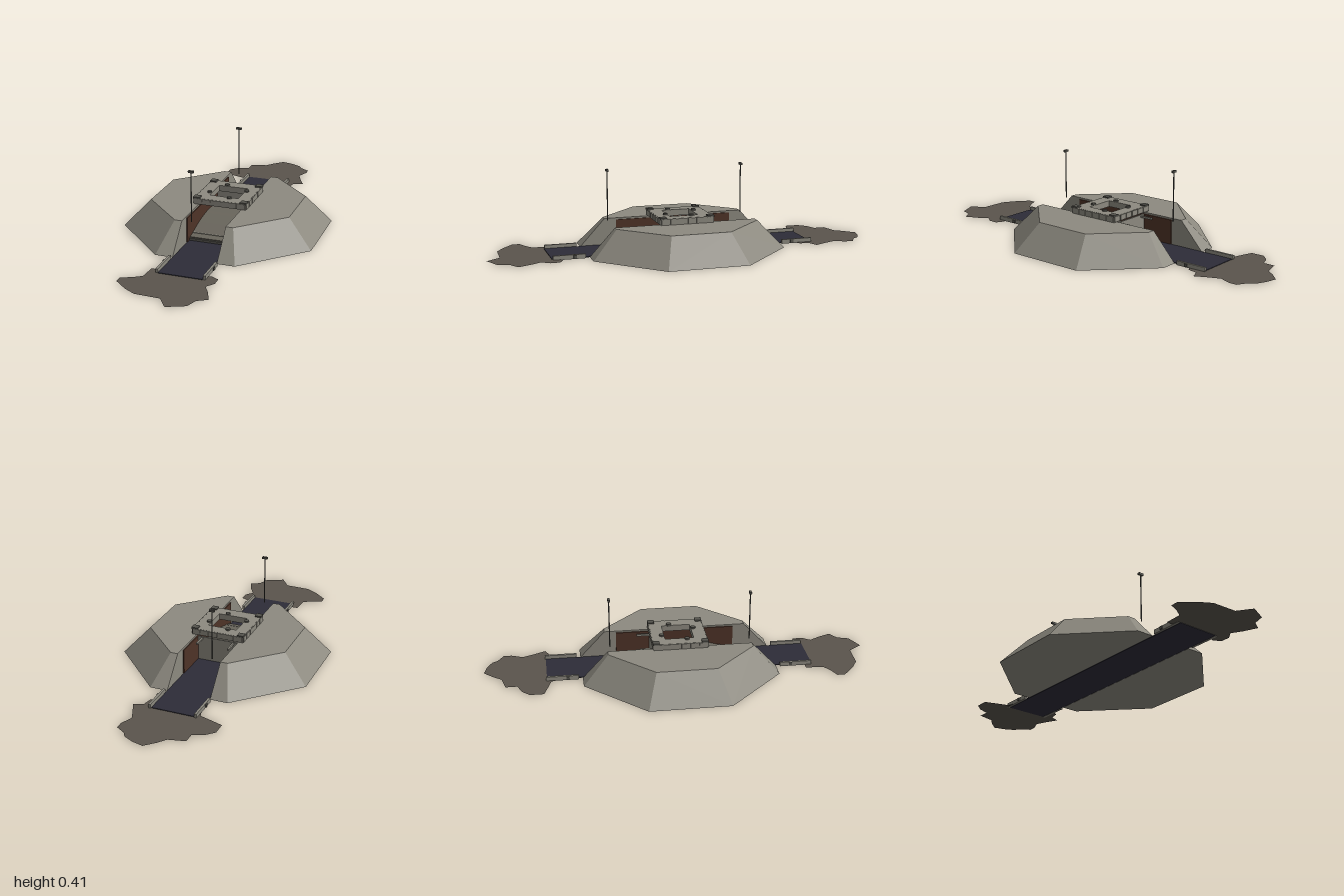
import * as THREE from 'three';
import { ConvexGeometry } from 'three/addons/geometries/ConvexGeometry.js';

const mat = (name, color, side = THREE.FrontSide) => {
  const m = new THREE.MeshStandardMaterial({ color, side });
  m.name = name;
  return m;
};

export function createModel() {
  const concrete = mat('concrete', 0x8d8a80);
  const asphalt = mat('asphalt', 0x2d2c38);
  const rust = mat('rust brown', 0x4e3327);
  const earth = mat('earth', 0x5a544c, THREE.DoubleSide);
  const darkSteel = mat('dark steel', 0x55544e);
  const ramp = mat('ramp grey', 0x69655c);

  const model = new THREE.Group();
  model.name = 'trenchBunker';

  const add = (name, geo, material, x = 0, y = 0, z = 0, parent = model) => {
    const mesh = new THREE.Mesh(geo, material);
    mesh.name = name;
    mesh.position.set(x, y, z);
    parent.add(mesh);
    return mesh;
  };
  const box = (name, material, w, h, d, x, y, z, parent) =>
    add(name, new THREE.BoxGeometry(w, h, d), material, x, y, z, parent);

  // Two sloped embankments, one on each side of the road trench
  const trench = 0.114;
  for (const s of [1, -1]) {
    const pts = [];
    for (const [y, far, near] of [[0.001, 0.5, 0.205], [0.142, 0.37, 0.152]]) {
      for (const [x, z] of [[trench, far], [near, far], [far, near]]) {
        pts.push(new THREE.Vector3(s * x, y, z), new THREE.Vector3(s * x, y, -z));
      }
    }
    add(s > 0 ? 'leftEmbankment' : 'rightEmbankment', new ConvexGeometry(pts), concrete);
    // Rusty lining of the trench wall
    box('trenchLining', rust, 0.006, 0.13, 0.62, s * 0.111, 0.068, 0);
    // Kerbs at both road ends
    for (const e of [1, -1]) {
      box('kerb', concrete, 0.012, 0.022, 0.165, s * 0.119, 0.011, e * 0.603);
      box('kerbPost', darkSteel, 0.008, 0.016, 0.016, s * 0.127, 0.012, e * 0.575);
    }
  }

  // Road through the trench
  box('road', asphalt, 0.222, 0.005, 1.37, 0, 0.0025, 0.004);

  // Low curved ramp below the roof
  const profile = new THREE.Shape();
  profile.moveTo(0.28, 0.004);
  profile.lineTo(0.28, 0.022);
  profile.lineTo(0.24, 0.03);
  profile.quadraticCurveTo(0.12, 0.068, 0, 0.068);
  profile.quadraticCurveTo(-0.08, 0.068, -0.135, 0.03);
  profile.lineTo(-0.135, 0.004);
  const rampGeo = new THREE.ExtrudeGeometry(profile, { depth: 0.214, bevelEnabled: false, curveSegments: 8 });
  rampGeo.translate(0, 0, -0.107).rotateY(-Math.PI / 2);
  add('ramp', rampGeo, ramp);
  box('rampSill', darkSteel, 0.214, 0.012, 0.008, 0, 0.011, 0.283);
  box('rampRidge', concrete, 0.214, 0.004, 0.008, 0, 0.03, 0.24);

  // Rear wall of the chamber, with two short arms
  box('chamberWall', concrete, 0.214, 0.128, 0.008, 0, 0.07, -0.132);
  for (const s of [1, -1]) box('wallArm', concrete, 0.009, 0.01, 0.068, s * 0.085, 0.125, -0.17);

  // Roof slab with a square hatch
  const roof = new THREE.Group();
  roof.name = 'roof';
  model.add(roof);
  const square = (path, w, d) => {
    path.moveTo(-w, -d);
    path.lineTo(w, -d);
    path.lineTo(w, d);
    path.lineTo(-w, d);
    path.closePath();
    return path;
  };
  const slab = square(new THREE.Shape(), 0.138, 0.138);
  slab.holes.push(square(new THREE.Path(), 0.078, 0.074));
  const slabGeo = new THREE.ExtrudeGeometry(slab, { depth: 0.032, bevelEnabled: false });
  slabGeo.rotateX(-Math.PI / 2);
  add('roofSlab', slabGeo, concrete, 0, 0.142, 0, roof);

  // Panels round the edge and pads on the corners
  for (let side = 0; side < 4; side++) {
    const edge = new THREE.Group();
    edge.name = 'roofEdge';
    edge.rotation.y = (side * Math.PI) / 2;
    roof.add(edge);
    for (let i = 0; i < 6; i++) {
      box('edgePanel', concrete, 0.04, 0.028, 0.006, -0.115 + i * 0.046, 0.159, 0.14, edge);
    }
    box('cornerPad', darkSteel, 0.034, 0.01, 0.034, 0.125, 0.176, 0.125, edge);
  }

  // Small bolts around the hatch
  for (const [x, z] of [[-0.037, -0.086], [0.087, -0.035], [-0.09, 0.038], [0.033, 0.086]]) {
    add('hatchBolt', new THREE.CylinderGeometry(0.013, 0.013, 0.012, 8), darkSteel, x, 0.176, z, roof);
  }

  // Mast with a flat head over each trench mouth
  for (const z of [0.365, -0.355]) {
    add('mast', new THREE.CylinderGeometry(0.003, 0.003, 0.255, 8), darkSteel, -0.065, 0.27, z);
    box('mastHead', darkSteel, 0.028, 0.011, 0.012, -0.065, 0.402, z);
  }

  // Ragged patches of earth at the road ends
  const patches = {
    rearEarth: [[0, -1], [0.06, -0.985], [0.11, -0.96], [0.13, -0.93], [0.18, -0.9], [0.18, -0.86], [0.155, -0.8],
      [0.18, -0.74], [0.21, -0.68], [0.16, -0.66], [0.15, -0.61], [0.1, -0.58], [-0.11, -0.58], [-0.135, -0.66],
      [-0.2, -0.68], [-0.26, -0.7], [-0.26, -0.77], [-0.22, -0.81], [-0.165, -0.83], [-0.165, -0.89], [-0.08, -0.91],
      [-0.05, -0.95]],
    frontEarth: [[-0.1, 0.65], [-0.16, 0.65], [-0.165, 0.74], [-0.21, 0.77], [-0.26, 0.79], [-0.26, 0.83],
      [-0.19, 0.89], [-0.13, 0.925], [0, 0.93], [0.05, 1], [0.14, 0.96], [0.16, 0.9], [0.21, 0.87], [0.18, 0.8],
      [0.15, 0.75], [0.18, 0.71], [0.18, 0.66], [0.14, 0.64], [0.1, 0.66]],
  };
  for (const [name, outline] of Object.entries(patches)) {
    const shape = new THREE.Shape(outline.map(([x, z]) => new THREE.Vector2(x, -z)));
    add(name, new THREE.ShapeGeometry(shape).rotateX(-Math.PI / 2), earth, 0, 0.002, 0);
  }

  return model;
}
